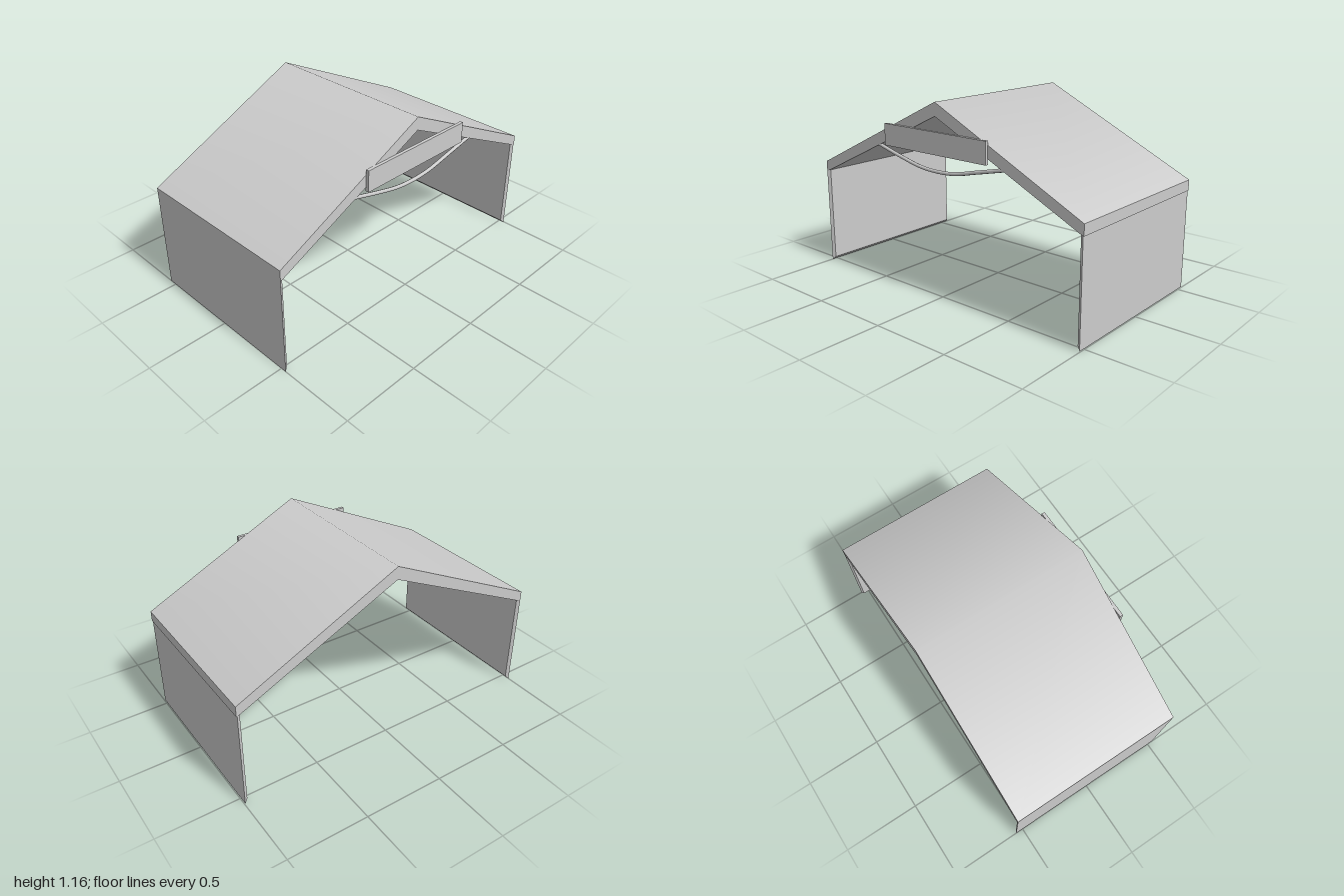
import * as THREE from 'three';

const BACK = -0.55, FRONT = 0.535;
const DEPTH = FRONT - BACK, MID = (FRONT + BACK) / 2;

function material() {
  return new THREE.MeshStandardMaterial({ color: 0xcccccc, side: THREE.DoubleSide });
}

function add(group, name, geometry) {
  const mesh = new THREE.Mesh(geometry, material());
  mesh.name = name;
  group.add(mesh);
  return mesh;
}

// Gabled slab: chevron profile extruded front to back
function roofGeometry() {
  const shape = new THREE.Shape([
    [-1, 0.675], [-1, 0.61], [-0.98, 0.617], [0, 1.08],
    [0.98, 0.617], [1, 0.61], [1, 0.675], [0, 1.16],
  ].map(([x, y]) => new THREE.Vector2(x, y)));
  const geo = new THREE.ExtrudeGeometry(shape, { depth: DEPTH, bevelEnabled: false });
  geo.translate(0, 0, BACK);
  // soften the shading across the outer ridge
  const p = geo.attributes.position, n = geo.attributes.normal;
  for (let i = 0; i < p.count; i++) {
    if (p.getY(i) > 1.15 && Math.abs(n.getZ(i)) < 0.5) n.setXYZ(i, 0, 1, 0);
  }
  return geo;
}

// Thin wall whose inner face is chamfered in at the bottom and the ends
function wallGeometry(side) {
  const outer = side < 0 ? -1 : 0.995, height = 0.64, thick = 0.02;
  const geo = new THREE.BoxGeometry(thick, height, DEPTH).toNonIndexed();
  const p = geo.attributes.position;
  for (let i = 0; i < p.count; i++) {
    if (p.getX(i) * side > 0) continue;
    if (p.getY(i) < 0) p.setY(i, p.getY(i) + 0.02);
    p.setZ(i, p.getZ(i) - Math.sign(p.getZ(i)) * 0.012);
  }
  geo.translate(outer - side * thick / 2, height / 2, MID);
  geo.computeVertexNormals();
  return geo;
}

export function createModel() {
  const group = new THREE.Group();
  group.name = 'openShelter';

  add(group, 'roof', roofGeometry());
  add(group, 'rightWall', wallGeometry(-1));
  add(group, 'leftWall', wallGeometry(1));

  // Plain board across the front gable
  const board = add(group, 'frontBoard', new THREE.BoxGeometry(0.785, 0.13, 0.02));
  board.position.set(-0.007, 0.932, 0.543);

  // Sagging rod under the board
  const curve = new THREE.CatmullRomCurve3([
    [-0.49, 0.86], [-0.3, 0.81], [-0.13, 0.773], [0, 0.765],
    [0.13, 0.773], [0.3, 0.81], [0.49, 0.853],
  ].map(([x, y]) => new THREE.Vector3(x, y, 0.524)));
  add(group, 'hangingRod', new THREE.TubeGeometry(curve, 28, 0.011, 8));

  return group;
}
